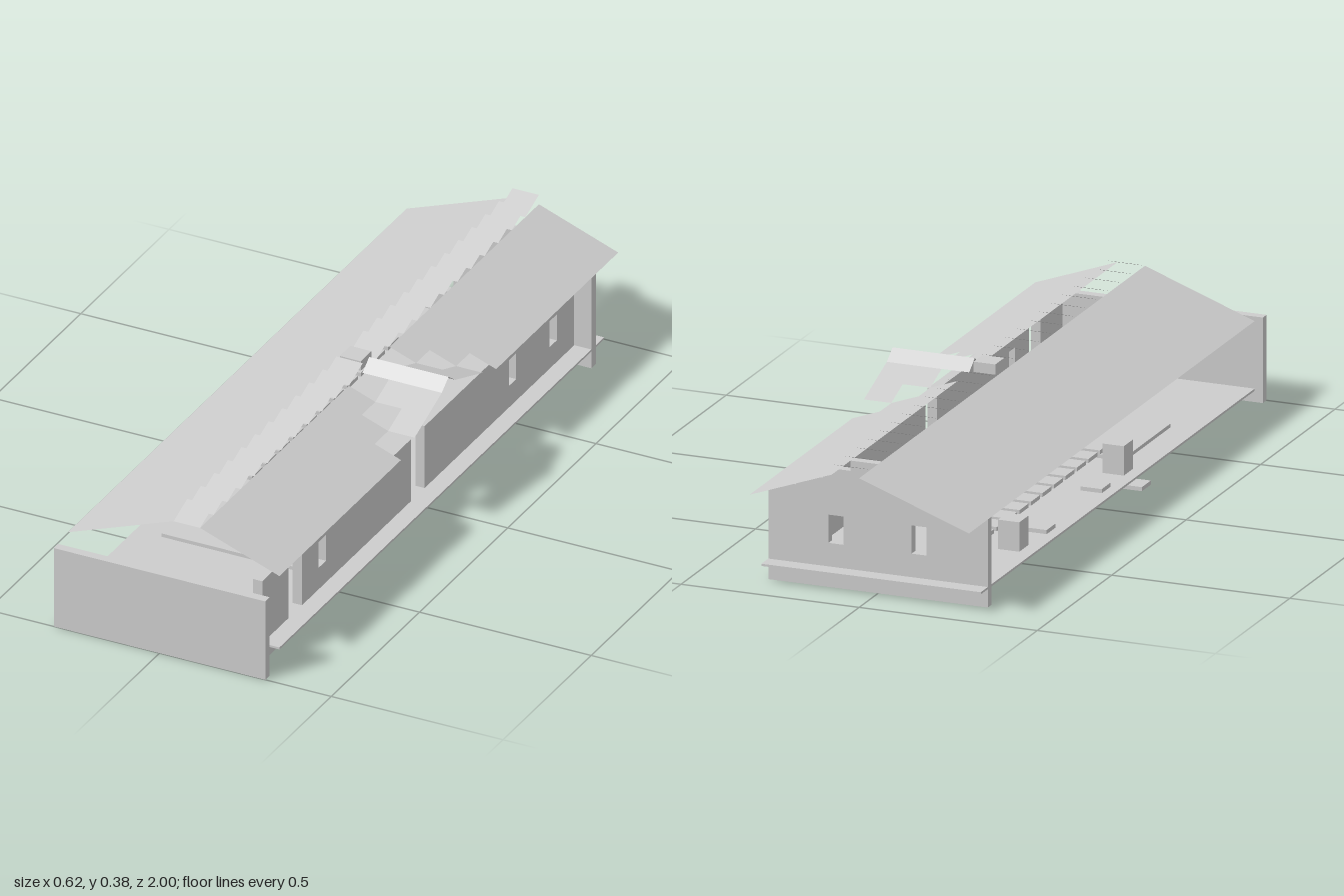
import * as THREE from 'three';

const U = 0.077;           // roof module
const C = -U / 2;          // dormer centre line
const BACK = -1, FRONT = 0.92;

export function createModel() {
  const group = new THREE.Group();
  const grey = new THREE.MeshStandardMaterial({ color: 0xcccccc, side: THREE.DoubleSide });
  grey.name = 'light grey';

  const add = (name, geo) => {
    const mesh = new THREE.Mesh(geo, grey);
    mesh.name = name;
    group.add(mesh);
    return mesh;
  };
  const box = (name, x0, x1, y0, y1, z0, z1) =>
    add(name, new THREE.BoxGeometry(x1 - x0, y1 - y0, z1 - z0)
      .translate((x0 + x1) / 2, (y0 + y1) / 2, (z0 + z1) / 2));
  // thin four-cornered sheet
  const sheet = (name, a, b, c, d) => {
    const geo = new THREE.BufferGeometry();
    geo.setAttribute('position', new THREE.Float32BufferAttribute([...a, ...b, ...c, ...d], 3));
    geo.setIndex([0, 1, 2, 0, 2, 3]);
    geo.computeVertexNormals();
    return add(name, geo);
  };
  // wall outline with window openings, extruded to its thickness
  const wall = (points, windows, depth) => {
    const shape = new THREE.Shape(points.map(p => new THREE.Vector2(...p)));
    for (const u of windows) {
      const [a, b] = [u - 0.021, u + 0.021];
      shape.holes.push(new THREE.Path([[a, 0.12], [a, 0.197], [b, 0.197], [b, 0.12]]
        .map(p => new THREE.Vector2(...p))));
    }
    return new THREE.ExtrudeGeometry(shape, { depth, bevelEnabled: false });
  };

  // base
  box('floor', -0.308, 0.308, 0.05, 0.056, -0.92, FRONT);
  box('foundationFront', 0.231, 0.258, 0, 0.05, 0.308, FRONT);
  box('foundationBack', 0.231, 0.258, 0, 0.05, -0.85, -0.231);
  box('frontWall', -0.308, 0.308, 0, 0.233, 0.975, 1);

  // stepped gable
  const tops = [0.24, 0.268, 0.296, 0.324, 0.352, 0.324, 0.296, 0.268];
  const outline = [[0.308, 0], [-0.308, 0]];
  tops.forEach((y, i) => outline.push([(i - 4) * U, y], [(i - 3) * U, y]));
  add('backGable', wall(outline, [-0.115, 0.118], 0.025)).position.z = -0.873;

  // side wall in three lengths, with door gaps between
  for (const [z0, z1, windows] of [
    [0.772, FRONT, []], [U, 0.695, [0.58]], [-0.85, 0, [-0.498, -0.728]],
  ]) {
    const geo = wall([[z0, 0.056], [z1, 0.056], [z1, 0.24], [z0, 0.24]], windows, 0.027);
    add('sideWall', geo.rotateY(-Math.PI / 2)).position.x = 0.258;
  }

  // main roof, right slope opened in steps around the dormer
  sheet('roofLeft', [-0.308, 0.24, FRONT], [0, 0.352, FRONT], [0, 0.352, BACK], [-0.308, 0.24, BACK]);
  for (let i = 0; i < 3; i++) {
    const x0 = U * (i + 1), x1 = x0 + U, y0 = 0.352 - 0.028 * i, y1 = y0 - 0.028;
    const half = U * (i + 1.5);
    for (const [z0, z1] of [[BACK, C - half], [C + half, FRONT]])
      sheet('roofRight', [x0, y0, z1], [x1, y1, z1], [x1, y1, z0], [x0, y0, z0]);

    // dormer slopes
    if (i > 0) for (const s of [1, -1]) {
      const zTop = C + s * U / 2, zLow = C + s * U * (i + 0.5), yLow = 0.352 - 0.028 * i;
      const a = [x0, yLow, zLow], b = [x1, yLow, zLow], c = [x1, 0.352, zTop], d = [x0, 0.352, zTop];
      if (s > 0) sheet('dormerSlope', a, b, c, d);
      else sheet('dormerSlope', d, c, b, a);
    }
  }
  // dormer ridge cap
  sheet('dormerRidge', [U, 0.352, 0], [0.308, 0.352, 0], [0.308, 0.38, C], [U, 0.38, C]);
  sheet('dormerRidge', [U, 0.38, C], [0.308, 0.38, C], [0.308, 0.352, -U], [U, 0.352, -U]);

  // tilted ridge tiles, with a block where the dormer meets the ridge
  const pitch = (FRONT - BACK) / 25;
  for (let k = 0; k < 25; k++) {
    if (k === 12) continue;
    const z0 = BACK + k * pitch, z1 = z0 + pitch;
    sheet('ridgeTile', [0, 0.352, z1], [U, 0.352, z1], [U, 0.38, z0], [0, 0.38, z0]);
  }
  box('ridgeBlock', 0.007, 0.068, 0.352, 0.38, -0.068, -0.008);

  // interior plates, boxes and platform
  const plate = (name, x, y, z, h) => box(name, x - 0.03, x + 0.03, y, y + h, z - 0.03, z + 0.03);
  for (let k = -8; k <= 2; k++) plate('tablePlate', -0.16, 0.09, U * (k + 0.5), 0.011);
  plate('seatPlate', -0.25, 0.057, -0.01, 0.011);
  plate('seatPlate', -0.25, 0.057, -0.38, 0.011);
  plate('stand', -0.245, 0.056, 0.15, 0.08);
  plate('stand', -0.24, 0.056, -0.54, 0.08);
  box('platform', -0.231, 0.154, 0.056, 0.066, 0.231, 0.54);
  plate('entranceStep', -0.277, 0.004, 0.195, 0.011);

  return group;
}
